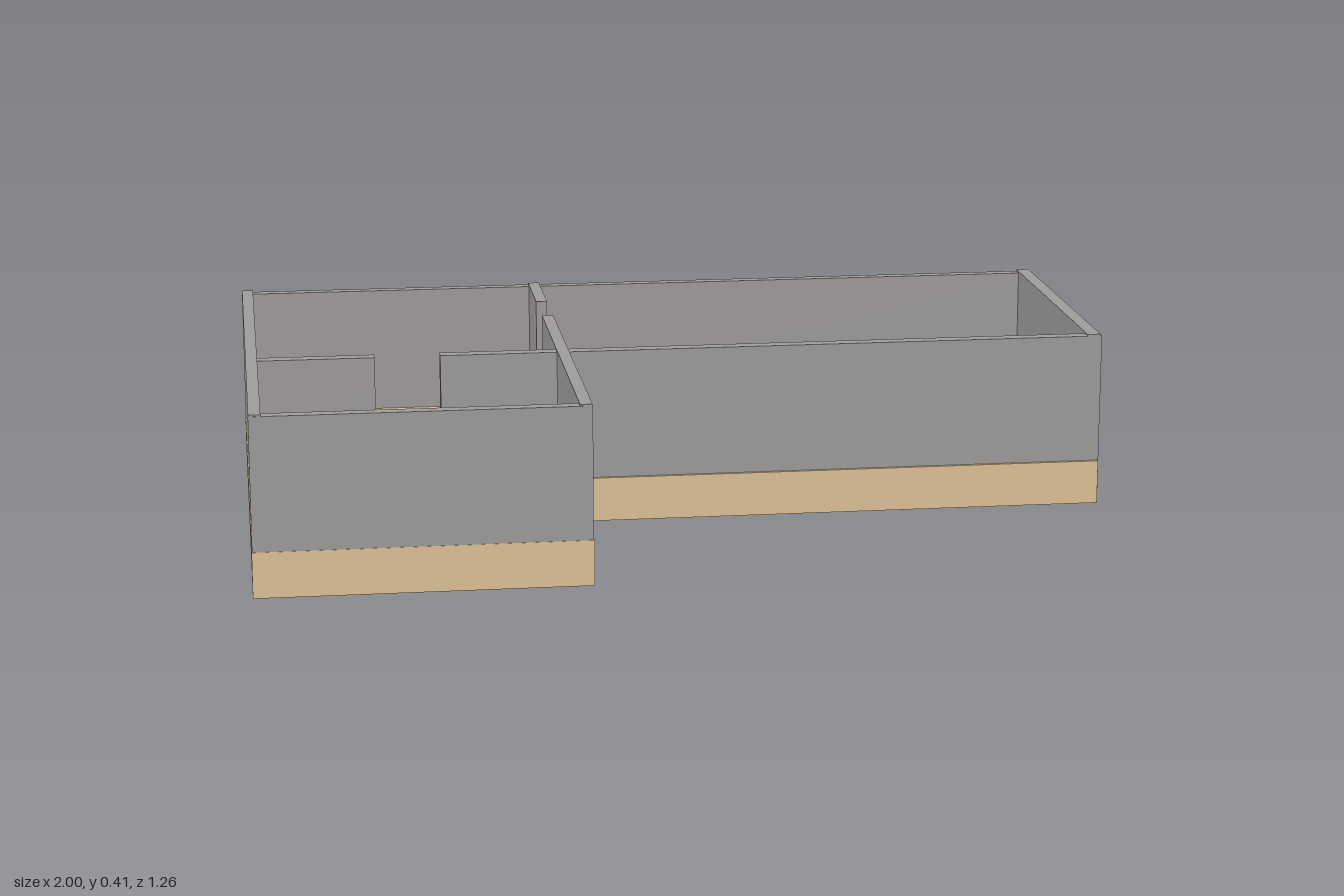
import * as THREE from 'three';

const wallMaterial = new THREE.MeshStandardMaterial({ color: 0x9f9b9b });
const floorMaterial = new THREE.MeshStandardMaterial({ color: 0xdec196 });

// Box given by its extents along each axis
function block(name, material, [x0, x1], [y0, y1], [z0, z1]) {
  const mesh = new THREE.Mesh(new THREE.BoxGeometry(x1 - x0, y1 - y0, z1 - z0), material);
  mesh.position.set((x0 + x1) / 2, (y0 + y1) / 2, (z0 + z1) / 2);
  mesh.name = name;
  return mesh;
}

export function createModel() {
  const house = new THREE.Group();
  house.name = 'floorPlan';

  // Thick floor slabs, a hair proud of the walls where they show outside
  const floors = new THREE.Group();
  floors.name = 'floors';
  const slab = [0.001, 0.104];
  floors.add(
    block('leftWingFloor', floorMaterial, [-1, -0.256], slab, [-0.63, 0.63]),
    block('mainRoomFloor', floorMaterial, [-0.256, 0.998], slab, [-0.626, 0.124])
  );

  const walls = new THREE.Group();
  walls.name = 'walls';

  // Walls running along x, reaching the ground
  const alongX = [
    ['backWall', [-0.999, 1], [-0.629, -0.603]],
    ['frontWingWall', [-0.999, -0.258], [0.601, 0.629]],
    ['mainRoomFrontWall', [-0.555, 1], [0.086, 0.117]],
    ['doorwayStubWall', [-0.98, -0.705], [0.086, 0.117]],
  ];
  for (const [name, x, z] of alongX) walls.add(block(name, wallMaterial, x, [0, 0.406], z));

  // Walls running along z, slightly taller and set into the slabs
  const alongZ = [
    ['outerWingWall', [-0.9985, -0.972], [-0.628, 0.628]],
    ['mainRoomEndWall', [0.966, 0.997], [-0.628, 0.116]],
    ['dividerBackWall', [-0.286, -0.259], [-0.628, -0.407]],
    ['dividerFrontWall', [-0.286, -0.259], [-0.255, 0.628]],
  ];
  for (const [name, x, z] of alongZ) walls.add(block(name, wallMaterial, x, [0.01, 0.41], z));

  house.add(floors, walls);
  return house;
}
